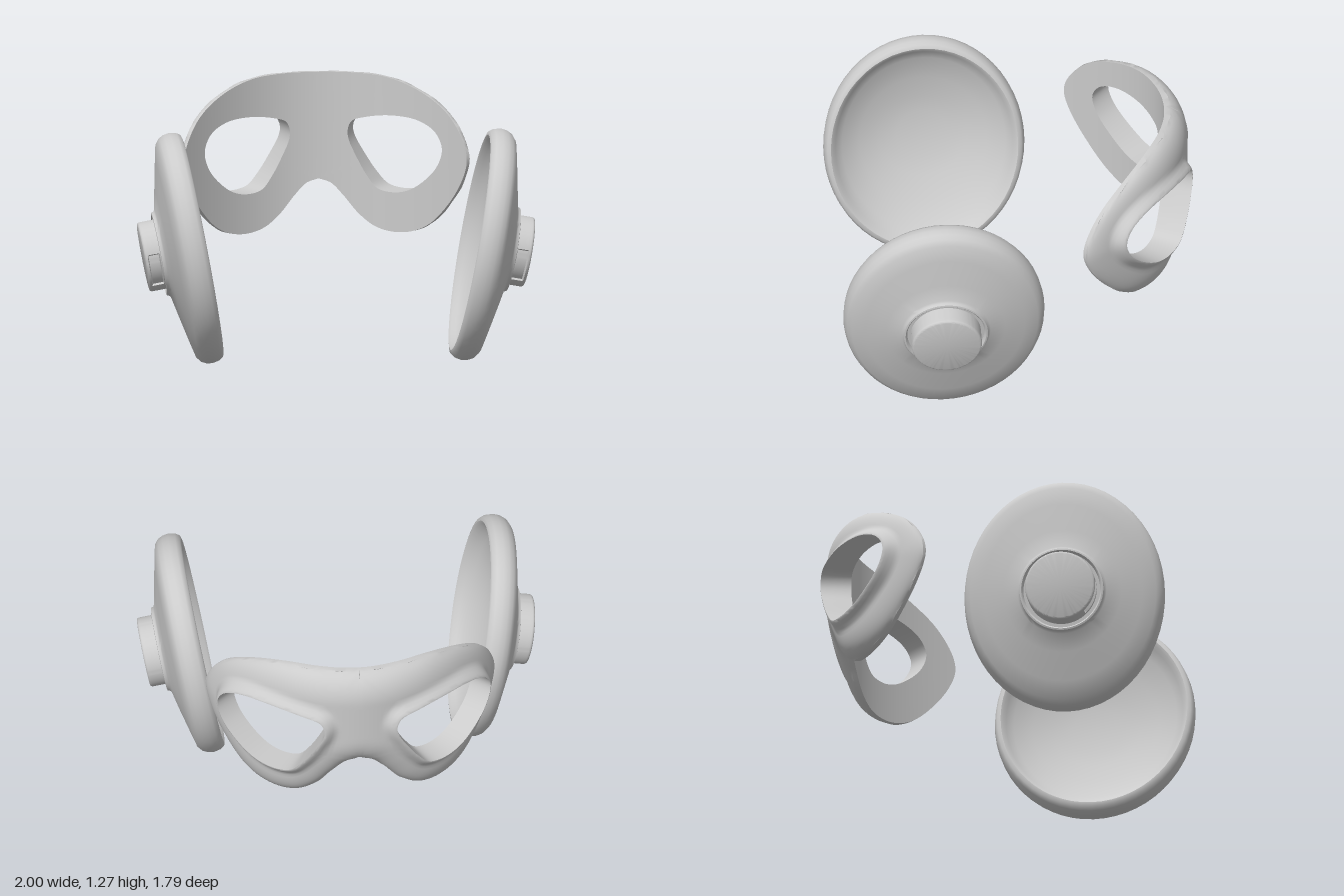
import * as THREE from 'three';
import { toCreasedNormals, mergeGeometries } from 'three/addons/utils/BufferGeometryUtils.js';

const material = new THREE.MeshStandardMaterial({ color: 0xcccccc });
const V2 = ([x, y]) => new THREE.Vector2(x, y);
const V3 = ([x, y]) => new THREE.Vector3(x, y, 0);

function addMesh(parent, name, geometry) {
  const mesh = new THREE.Mesh(geometry, material);
  mesh.name = name;
  parent.add(mesh);
}

// ---- Mask: one half is a ring between the outline and the eye hole ----
const outline = new THREE.CatmullRomCurve3([
  [0, 1.262], [0.2, 1.26], [0.35, 1.245], [0.5, 1.19], [0.62, 1.1], [0.69, 0.98], [0.71, 0.88],
  [0.69, 0.78], [0.63, 0.65], [0.54, 0.53], [0.46, 0.48], [0.37, 0.465], [0.28, 0.485],
  [0.2, 0.545], [0.12, 0.64], [0.06, 0.7], [0, 0.72],
].map(V3));
const eye = new THREE.CatmullRomCurve3([
  [0.145, 0.97], [0.165, 1.015], [0.22, 1.035], [0.35, 1.055], [0.48, 1.045], [0.56, 1.0],
  [0.595, 0.92], [0.57, 0.82], [0.5, 0.73], [0.43, 0.68], [0.36, 0.665], [0.29, 0.68],
  [0.24, 0.74], [0.18, 0.85], [0.15, 0.92],
].map(V3), true);

// Wrap a flat point round the face, then raise it along the normal
function wrap(x, y, lift) {
  const n = new THREE.Vector3(1.8 * x, 0, -1).normalize();
  return new THREE.Vector3(x, y, -0.755 + 0.9 * x * x).addScaledVector(n, lift);
}
const nearest = (p, list) => Math.sqrt(list.reduce((m, q) => Math.min(m, p.distanceToSquared(q)), 9));

function maskGeometry() {
  const eyePoints = eye.getSpacedPoints(1500);
  const edge3 = outline.getSpacedPoints(300).map((p) => wrap(p.x, p.y, 0));
  const eye3 = eye.getSpacedPoints(200).map((p) => wrap(p.x, p.y, 0));
  const centre = new THREE.Vector3(0.36, 0.88, 0);
  const heading = (p) => Math.atan2(p.y - centre.y, p.x - centre.x);
  const headings = eyePoints.map(heading);

  // Outline points, then the centre line back up to the start
  const loop = outline.getSpacedPoints(96);
  const edgeCount = loop.length - 1;
  for (let k = 1; k < 18; k++) loop.push(new THREE.Vector3(0, 0.72 + (0.542 * k) / 18, 0));

  const thickness = (x, y) => {
    const p = wrap(x, y, 0);
    const t = Math.min(x / 0.7, 1);
    const round = Math.min(nearest(p, edge3) / 0.16, 1);
    const base = 0.012 + (0.104 - 0.06 * t * t) * Math.sqrt(1 - (1 - round) ** 2);
    const rim = Math.max(0, 1 - nearest(p, eye3) / 0.055);
    return base + Math.max(0, 0.165 - 0.045 * t - base) * rim * rim * (3 - 2 * rim);
  };

  const steps = 16;
  const rows = loop.map((o) => {
    const a = heading(o);
    let best = 0, gap = 9;
    headings.forEach((h, k) => {
      const d = Math.abs(Math.atan2(Math.sin(h - a), Math.cos(h - a)));
      if (d < gap) { gap = d; best = k; }
    });
    const flat = [];
    for (let k = 0; k <= steps; k++) {
      flat.push(o.clone().lerp(eyePoints[best], (1 - Math.cos((Math.PI * k) / steps)) / 2));
    }
    const back = flat.map((p) => wrap(p.x, p.y, 0));
    const front = flat.map((p) => wrap(p.x, p.y, thickness(p.x, p.y)));
    return [...back, ...front.reverse()];
  });

  const half = (side) => {
    const n = rows[0].length, position = [], index = [];
    rows.forEach((row) => row.forEach((p) => position.push(p.x * side, p.y, p.z)));
    const tri = (a, b, c) => (side > 0 ? index.push(a, b, c) : index.push(a, c, b));
    for (let i = 0; i < rows.length; i++) {
      const i2 = (i + 1) % rows.length;
      for (let j = 0; j < n; j++) {
        if (j === n - 1 && i >= edgeCount) continue; // open along the centre line
        const j2 = (j + 1) % n;
        const a = i * n + j, b = i2 * n + j, e = i * n + j2, f = i2 * n + j2;
        tri(a, e, b);
        tri(e, f, b);
      }
    }
    const g = new THREE.BufferGeometry();
    g.setAttribute('position', new THREE.Float32BufferAttribute(position, 3));
    g.setIndex(index);
    return g.toNonIndexed();
  };
  return toCreasedNormals(mergeGeometries([half(1), half(-1)]), 0.8);
}

// ---- Side discs: turned about the local x axis, x pointing outward ----
function turned(profile, segments, rule) {
  const g = new THREE.LatheGeometry(profile.map(V2), segments);
  g.rotateZ(-Math.PI / 2);
  const p = g.attributes.position;
  const v = new THREE.Vector3();
  for (let i = 0; i < p.count; i++) {
    rule(v.fromBufferAttribute(p, i));
    p.setXYZ(i, v.x, v.y, v.z);
  }
  return toCreasedNormals(g, 0.75);
}

function sideDisc(side) {
  const disc = new THREE.Group();

  // Hollow dish, stretched taller towards the rim
  const dish = [
    [0, 0.17], [0.13, 0.167], [0.22, 0.15], [0.32, 0.115], [0.41, 0.065], [0.445, 0.03],
    [0.457, 0.01], [0.47, 0], [0.487, 0.005], [0.499, 0.025], [0.505, 0.06], [0.501, 0.09],
    [0.49, 0.115], [0.468, 0.135], [0.4, 0.155], [0.3, 0.185], [0.225, 0.203], [0.215, 0.21],
    [0.211, 0.222], [0.203, 0.224], [0.197, 0.218], [0.193, 0.205], [0.17, 0.205],
  ];
  addMesh(disc, 'dish', turned(dish, 56, (v) => {
    v.y *= 1 + 0.168 * THREE.MathUtils.smoothstep(Math.hypot(v.y, v.z), 0.215, 0.46);
  }));

  // Round knob with a slot pressed into its side
  const knob = [0.2, 0.226, 0.231, 0.245, 0.26, 0.275, 0.283, 0.288].map((h) => [0.176, h]);
  knob.push([0.175, 0.295], [0.171, 0.301], [0.165, 0.303], [0, 0.303]);
  addMesh(disc, 'knob', turned(knob, 120, (v) => {
    const inSlot = v.x > 0.228 && v.x < 0.286 && Math.abs(v.y + 0.05) < 0.08;
    if (inSlot && v.z * side > 0) v.z -= 0.03 * side;
  }));

  // Lean outward at the top, then turn to face its own side
  disc.rotation.z = -0.181;
  disc.position.x = 0.67;
  const holder = new THREE.Group();
  holder.name = side > 0 ? 'leftDisc' : 'rightDisc';
  holder.rotation.y = side > 0 ? 0 : Math.PI;
  holder.position.set(0, 0.588, 0.4);
  holder.add(disc);
  return holder;
}

export function createModel() {
  const model = new THREE.Group();
  addMesh(model, 'mask', maskGeometry());
  model.add(sideDisc(1), sideDisc(-1));
  return model;
}
